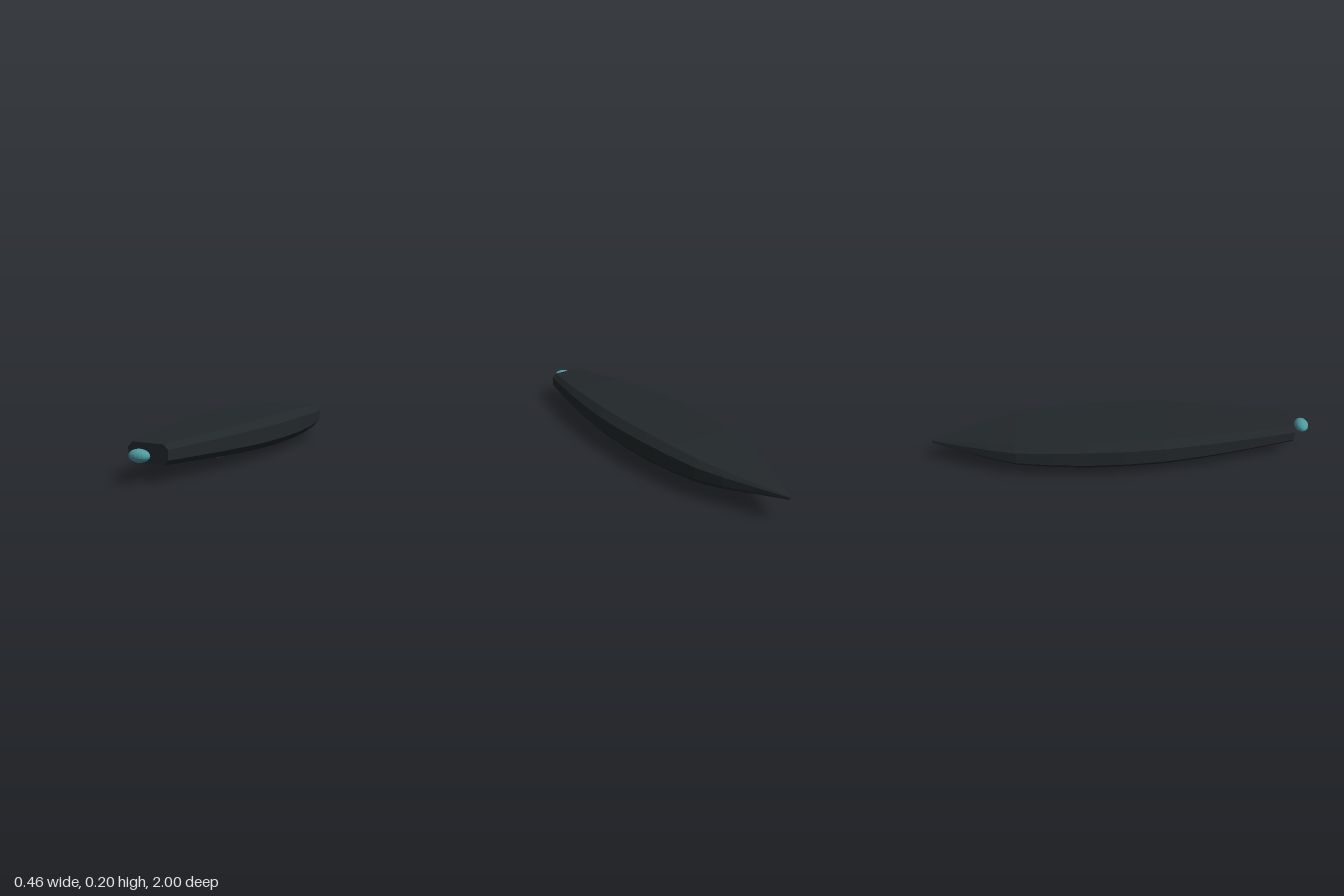
import * as THREE from 'three';

const AXIS_Y = 0.128;

// hull stations from blunt front to pointed rear: z, half width, half height
const STATIONS = [
  [0.9, 0.104, 0.046], [0.57, 0.17, 0.062], [0.4, 0.198, 0.069], [0.2, 0.223, 0.075],
  [0, 0.232, 0.077], [-0.2, 0.228, 0.076], [-0.38, 0.213, 0.07], [-0.56, 0.187, 0.06],
  [-0.7, 0.138, 0.046], [-0.85, 0.07, 0.026], [-1, 0.004, 0.006],
];

// chamfered rectangle, counter-clockwise seen from the front
function section([z, w, h]) {
  const c = 0.49 * h, cx = Math.min(c, 0.45 * w);
  return [
    [w, -h + c], [w, h - c], [w - cx, h], [-w + cx, h],
    [-w, h - c], [-w, -h + c], [-w + cx, -h], [w - cx, -h],
  ].map(([x, y]) => [x, y + AXIS_Y, z]);
}

function hullGeometry() {
  const rings = STATIONS.map(section);
  const n = rings[0].length;
  const pos = rings.flat(2);
  const index = [];
  for (let s = 0; s < rings.length - 1; s++) {
    for (let i = 0; i < n; i++) {
      const j = (i + 1) % n;
      const a = s * n + i, b = s * n + j, c = b + n, d = a + n;
      index.push(a, c, b, a, d, c);
    }
  }
  // end caps
  const last = (rings.length - 1) * n;
  for (let i = 1; i < n - 1; i++) {
    index.push(0, i, i + 1);
    index.push(last, last + i + 1, last + i);
  }
  const g = new THREE.BufferGeometry();
  g.setAttribute('position', new THREE.Float32BufferAttribute(pos, 3));
  g.setIndex(index);
  const flat = g.toNonIndexed();
  flat.computeVertexNormals();
  return flat;
}

export function createModel() {
  const model = new THREE.Group();
  model.name = 'vessel';

  const hullMat = new THREE.MeshStandardMaterial({ color: 0x22272a, flatShading: true });
  const lensMat = new THREE.MeshStandardMaterial({ color: 0x4f9aa0, flatShading: true });
  const panelMat = new THREE.MeshStandardMaterial({ color: 0x333333, side: THREE.DoubleSide });

  const hull = new THREE.Mesh(hullGeometry(), hullMat);
  hull.name = 'hull';
  model.add(hull);

  // flattened bulb floating ahead of the blunt end
  const bulb = new THREE.Mesh(new THREE.SphereGeometry(1, 16, 12), lensMat);
  bulb.name = 'frontBulb';
  bulb.scale.set(0.051, 0.03, 0.036);
  bulb.position.set(0, AXIS_Y, 0.964);
  model.add(bulb);

  // row of thin upright panels along the keel, following the belly curve
  const bottoms = [0.006, 0, 0.001, 0.006, 0.015];
  const keel = new THREE.Group();
  keel.name = 'keelPanels';
  bottoms.forEach((y, i) => {
    const top = 0.065;
    const panel = new THREE.Mesh(new THREE.PlaneGeometry(0.133, top - y), panelMat);
    panel.name = 'keelPanel' + (i + 1);
    panel.rotation.y = Math.PI / 2;
    panel.position.set(0, (top + y) / 2, 0.234 - i * 0.168);
    keel.add(panel);
  });
  model.add(keel);

  return model;
}
